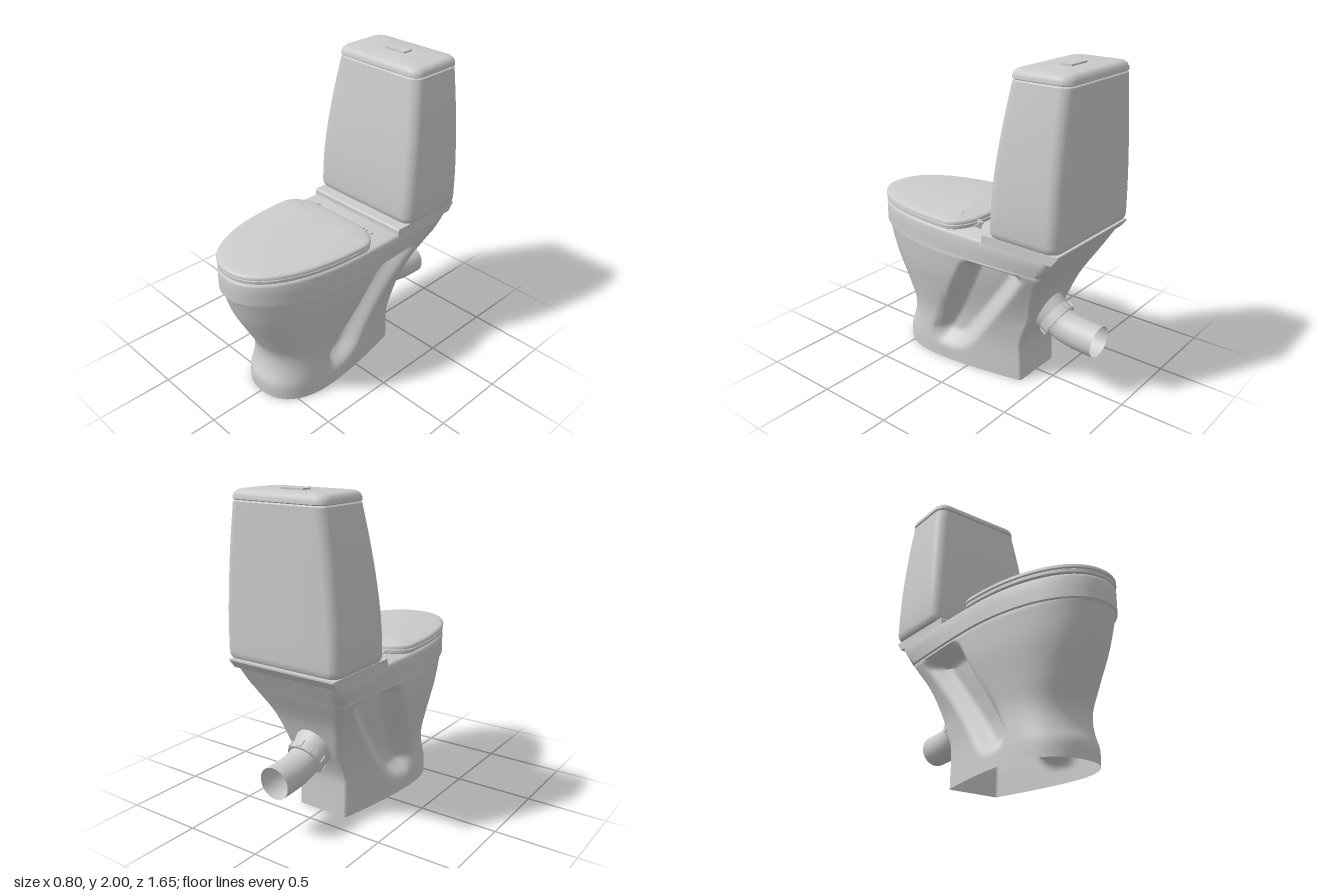
import * as THREE from 'three';
import { toCreasedNormals } from 'three/addons/utils/BufferGeometryUtils.js';

const material = new THREE.MeshStandardMaterial({ color: 0xcccccc, side: THREE.DoubleSide });

function add(parent, name, geometry, x = 0, y = 0, z = 0) {
  const mesh = new THREE.Mesh(geometry, material);
  mesh.name = name;
  mesh.position.set(x, y, z);
  parent.add(mesh);
  return mesh;
}

const smooth = THREE.MathUtils.smoothstep;

// Skin a stack of equal-length rings, optionally capped at either end
function loft(rings, capTop = true, capBottom = true, crease = 0.6) {
  const n = rings[0].length, pos = [], index = [];
  rings.forEach(r => r.forEach(p => pos.push(p.x, p.y, p.z)));
  for (let i = 0; i < rings.length - 1; i++) {
    for (let j = 0; j < n; j++) {
      const k = (j + 1) % n, a = i * n + j, b = i * n + k;
      index.push(a, b, b + n, a, b + n, a + n);
    }
  }
  const cap = (row, up) => {
    const c = new THREE.Vector3();
    rings[row].forEach(p => c.addScaledVector(p, 1 / n));
    const centre = pos.length / 3;
    pos.push(c.x, c.y, c.z);
    for (let j = 0; j < n; j++) {
      const a = row * n + j, b = row * n + (j + 1) % n;
      index.push(centre, up ? a : b, up ? b : a);
    }
  };
  if (capTop) cap(rings.length - 1, true);
  if (capBottom) cap(0, false);
  const g = new THREE.BufferGeometry();
  g.setAttribute('position', new THREE.Float32BufferAttribute(pos, 3));
  g.setIndex(index);
  return toCreasedNormals(g, crease);
}

// Complete a half outline [x, z] running front -> left side -> back
function mirrored(half, y) {
  const all = half.concat(half.slice(1, -1).reverse().map(([x, z]) => [-x, z]));
  return all.map(([x, z]) => new THREE.Vector3(x, y, z));
}

// Bowl outline: rounded nose, tapering sides, back with rounded corners
function bowlRing(y, zf, w, zc, wb, zb, r, n) {
  const half = [];
  for (let i = 0; i < 24; i++) {
    const a = i / 24 * Math.PI / 2;
    half.push([w * Math.sin(a) ** (2 / n), zc + (zf - zc) * Math.cos(a) ** (2 / n)]);
  }
  for (let i = 0; i < 36; i++) {
    const t = i / 36;
    half.push([w + (wb - w) * t ** 1.5, zc + (zb + r - zc) * t]);
  }
  for (let i = 0; i <= 6; i++) {
    const a = i / 6 * Math.PI / 2;
    half.push([wb - r + r * Math.cos(a), zb + r - r * Math.sin(a)]);
  }
  for (let i = 1; i <= 6; i++) half.push([(wb - r) * (1 - i / 6), zb]);
  return mirrored(half, y);
}

// Slanted hollow pressed into each side of the pedestal
function pressSides(ring) {
  for (const p of ring) {
    const front = Math.min(0.29, 0.29 - (p.y - 0.2) * 0.55);
    const rear = 0.04 - (p.y - 0.12) * 0.75;
    const depth = (0.085 + 0.05 * p.y)
      * smooth(front - p.z, 0, 0.11) * smooth(p.z, rear - 0.05, rear + 0.12)
      * smooth(p.y, 0.08, 0.2) * (1 - smooth(p.y, 0.75, 0.82));
    p.x -= Math.sign(p.x) * Math.min(depth, Math.abs(p.x) * 0.6);
  }
  return ring;
}

function pedestal() {
  // y, nose z, half width, nose centre z, back half width, back z, corner radius, roundness
  const keys = [
    [0, 0.62, 0.27, 0.25, 0.18, -0.375, 0.02, 2.4],
    [0.1, 0.62, 0.268, 0.25, 0.18, -0.372, 0.02, 2.4],
    [0.17, 0.592, 0.266, 0.24, 0.18, -0.37, 0.02, 2.4],
    [0.25, 0.576, 0.265, 0.22, 0.185, -0.373, 0.025, 2.4],
    [0.32, 0.584, 0.27, 0.19, 0.19, -0.395, 0.03, 2.4],
    [0.45, 0.648, 0.298, 0.14, 0.2, -0.455, 0.04, 2.3],
    [0.65, 0.748, 0.345, 0.08, 0.26, -0.53, 0.05, 2.2],
    [0.82, 0.803, 0.366, 0.05, 0.33, -0.625, 0.05, 2.2],
  ];
  const curve = new THREE.CubicInterpolant(keys.map(k => k[0]), keys.flatMap(k => k.slice(1)), 7);
  const rings = [];
  for (let i = 0; i <= 48; i++) {
    const y = 0.82 * i / 48;
    rings.push(pressSides(bowlRing(y, ...curve.evaluate(y))));
  }
  // Rim band: y, inset
  for (const [y, s] of [[0.832, 0.012], [0.838, 0], [0.9, 0], [0.962, 0], [0.975, 0.004], [0.981, 0.014]]) {
    const back = -0.63 - (y - 0.83) * 0.58;
    const wb = 0.34 + 0.033 * smooth(y, 0.82, 0.96) - s;
    rings.push(bowlRing(y, 0.82 - s, 0.375 - s, 0.05, wb, back, 0.05, 2.2));
  }
  return loft(rings, true, false, 0.8);
}

// Seat and cover outline, shrunk by an inset
function seatRing(y, s) {
  const half = [], w = 0.375 - s;
  for (let i = 0; i <= 28; i++) {
    const a = i / 28 * Math.PI / 2;
    half.push([w * Math.sin(a) ** 0.9, 0.07 + (0.75 - s) * Math.cos(a) ** 0.9]);
  }
  const corner = new THREE.CubicBezierCurve(new THREE.Vector2(w, 0.07), new THREE.Vector2(w, 0),
    new THREE.Vector2(w * 0.8, -0.055 + s), new THREE.Vector2(w * 0.54, -0.068 + s));
  corner.getPoints(10).slice(1).forEach(p => half.push([p.x, p.y]));
  half.push([0, -0.07 + s]);
  return mirrored(half, y);
}

// Rounded rectangle between two z values
function boxRing(y, w, zf, zb, r) {
  const half = [[0, zf]];
  for (const [cz, start] of [[zf - r, Math.PI / 2], [zb + r, 0]]) {
    for (let i = 0; i <= 8; i++) {
      const a = start - i / 8 * Math.PI / 2;
      half.push([w - r + r * Math.cos(a), cz + r * Math.sin(a)]);
    }
  }
  half.push([0, zb]);
  return mirrored(half, y);
}

export function createModel() {
  const model = new THREE.Group();
  model.name = 'toilet';

  add(model, 'pedestalAndRim', pedestal());

  // Raised shelf carrying the tank
  const side = new THREE.Shape([[0.22, 0.96], [0.71, 0.96], [0.75, 1.01], [0.75, 1.02], [0.23, 1.02], [0.222, 1.01]]
    .map(p => new THREE.Vector2(...p)));
  const shelf = new THREE.ExtrudeGeometry(side, { depth: 0.746, bevelEnabled: false });
  shelf.rotateY(Math.PI / 2);
  add(model, 'tankShelf', shelf, -0.373);

  // Seat and domed cover
  add(model, 'seat', loft([[0.984, 0.012], [0.989, 0.004], [1.008, 0.004], [1.013, 0.012]].map(a => seatRing(...a))));
  add(model, 'seatCover', loft([[1.013, 0.008], [1.016, 0], [1.03, 0], [1.037, 0.005], [1.042, 0.018],
    [1.047, 0.06], [1.055, 0.14], [1.06, 0.22], [1.063, 0.3]].map(a => seatRing(...a)), true, true, 0.9));

  // Hinges
  for (const s of [-1, 1]) {
    const hinge = new THREE.Group();
    hinge.name = s > 0 ? 'leftHinge' : 'rightHinge';
    add(hinge, 'post', new THREE.CylinderGeometry(0.012, 0.014, 0.04, 16), s * 0.225, 1.0, -0.088);
    add(hinge, 'pin', new THREE.CylinderGeometry(0.008, 0.008, 0.075, 12), s * 0.232, 1.005, -0.09).rotation.z = Math.PI / 2;
    add(hinge, 'arm', new THREE.BoxGeometry(0.02, 0.014, 0.05), s * 0.21, 1.017, -0.078).rotation.x = -0.4;
    model.add(hinge);
  }

  // Tank narrowing upward in a gentle curve: y, half width, front z, back z, corner radius
  const tank = [[1.025, 0.372, -0.305, -0.73, 0.05], [1.03, 0.387, -0.288, -0.745, 0.062],
    [1.045, 0.398, -0.278, -0.754, 0.07], [1.07, 0.402, -0.276, -0.756, 0.07], [1.2, 0.4, -0.28, -0.756, 0.07],
    [1.3, 0.396, -0.286, -0.756, 0.07], [1.4, 0.389, -0.295, -0.756, 0.07], [1.5, 0.38, -0.306, -0.756, 0.07],
    [1.6, 0.37, -0.319, -0.756, 0.07], [1.7, 0.358, -0.333, -0.756, 0.07], [1.8, 0.344, -0.348, -0.756, 0.07],
    [1.925, 0.325, -0.367, -0.756, 0.07], [1.933, 0.315, -0.377, -0.746, 0.06]];
  add(model, 'tank', loft(tank.map(a => boxRing(...a))));

  const lid = [[1.933, 0.318, -0.372, -0.75, 0.065], [1.938, 0.327, -0.365, -0.757, 0.07],
    [1.955, 0.326, -0.366, -0.756, 0.07], [1.972, 0.319, -0.373, -0.749, 0.068],
    [1.985, 0.305, -0.387, -0.735, 0.06], [1.99, 0.285, -0.405, -0.717, 0.05]];
  add(model, 'tankLid', loft(lid.map(a => boxRing(...a)), true, true, 0.9));

  // Two-part flush button
  for (const s of [-1, 1]) {
    add(model, 'flushButton', new THREE.BoxGeometry(0.074, 0.016, 0.07), s * 0.038, 1.992, -0.572);
  }

  // Waste outlet: spud, collar and open elbow pipe
  const path = new THREE.CatmullRomCurve3([[0.5, -0.38], [0.43, -0.5], [0.39, -0.58], [0.37, -0.67], [0.36, -0.82]]
    .map(([y, z]) => new THREE.Vector3(0, y, z)));
  add(model, 'outletPipe', new THREE.TubeGeometry(path, 32, 0.1, 32));
  const outlet = new THREE.Group();
  outlet.name = 'outletFitting';
  outlet.position.set(0, 0.435, -0.49);
  outlet.rotation.x = -Math.PI / 2 - 0.52;
  add(outlet, 'spud', new THREE.CylinderGeometry(0.112, 0.15, 0.14, 32, 1, true), 0, -0.06, 0);
  add(outlet, 'collar', new THREE.CylinderGeometry(0.118, 0.118, 0.06, 32), 0, 0.03, 0);
  for (let i = 0; i < 8; i++) {
    const a = i / 8 * Math.PI * 2;
    add(outlet, 'collarRib', new THREE.BoxGeometry(0.03, 0.045, 0.012),
      Math.sin(a) * 0.118, 0.03, Math.cos(a) * 0.118).rotation.y = a;
  }
  model.add(outlet);

  return model;
}
